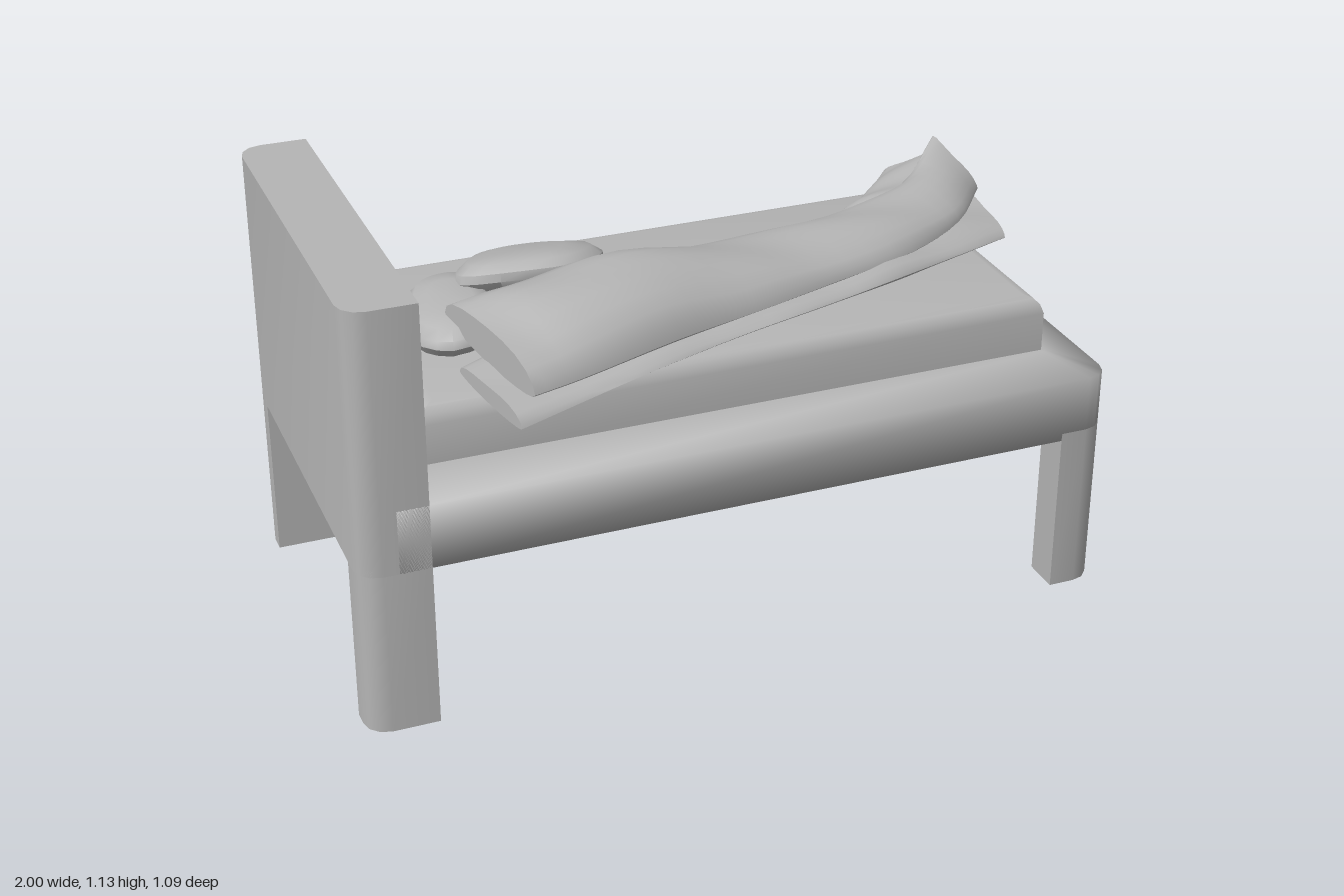
import * as THREE from 'three';
import { toCreasedNormals } from 'three/addons/utils/BufferGeometryUtils.js';

// Skin a stack of closed rings of [x, y, z] points and cap both ends
function skin(rings, crease) {
  const n = rings[0].length, pos = [], idx = [];
  const centre = (r) => [0, 1, 2].map((k) => r.reduce((s, p) => s + p[k], 0) / n);
  rings.forEach((r) => r.forEach((p) => pos.push(...p)));
  for (let j = 0; j < rings.length - 1; j++) {
    for (let i = 0; i < n; i++) {
      const a = j * n + i, b = j * n + (i + 1) % n;
      idx.push(a, a + n, b, b, a + n, b + n);
    }
  }
  const last = rings.length - 1, c0 = rings.length * n, c1 = c0 + 1;
  pos.push(...centre(rings[0]), ...centre(rings[last]));
  for (let i = 0; i < n; i++) {
    const k = (i + 1) % n;
    idx.push(c0, i, k, c1, last * n + k, last * n + i);
  }
  const g = new THREE.BufferGeometry();
  g.setAttribute('position', new THREE.Float32BufferAttribute(pos, 3));
  g.setIndex(idx);
  g.computeVertexNormals();
  return crease ? toCreasedNormals(g, crease) : g;
}

// Rectangle in plan at height y; corner radii start at (x1, z1) and run towards (x0, z1)
function plan(y, x0, x1, z0, z1, radii = [0, 0, 0, 0]) {
  const corners = [[x1, z1, -1, -1], [x0, z1, 1, -1], [x0, z0, 1, 1], [x1, z0, -1, 1]];
  return corners.flatMap(([x, z, sx, sz], c) => {
    const r = radii[c];
    if (!r) return [[x, y, z]];
    return [0, 1, 2, 3].map((i) => {
      const a = (c + i / 3) * Math.PI / 2;
      return [x + sx * r + r * Math.cos(a), y, z + sz * r + r * Math.sin(a)];
    });
  });
}

// Cloth tube; each station is far edge xyz, near edge xyz, rise above, drop below
function cloth(stations, steps = 28, n = 20) {
  const curves = [0, 3, 6].map((k) => new THREE.CatmullRomCurve3(
    stations.map((s) => new THREE.Vector3(s[k], s[k + 1], s[k + 2] ?? 0))));
  const rings = [];
  for (let j = 0; j <= steps; j++) {
    const [far, near, bulge] = curves.map((c) => c.getPoint(j / steps));
    const ring = [];
    for (let i = 0; i < n; i++) {
      const a = i / n * Math.PI * 2, s = Math.sin(a);
      const p = far.clone().lerp(near, (1 + Math.cos(a)) / 2);
      const wrinkle = 0.006 * Math.sin(j * 0.9 + i * 0.8) * Math.max(s, 0);
      ring.push([p.x, p.y + s * (s > 0 ? bulge.x : bulge.y) + wrinkle, p.z]);
    }
    rings.push(ring);
  }
  return skin(rings, 0.9);
}

// Soft cushion from a plan outline, tilted by slopes in x and z
function cushion(outline, y, thick, slopeX, slopeZ) {
  const curve = new THREE.CatmullRomCurve3(
    outline.map(([x, z]) => new THREE.Vector3(x, 0, z)), true);
  const pts = curve.getPoints(20).slice(0, 20);
  const cx = pts.reduce((s, p) => s + p.x, 0) / 20, cz = pts.reduce((s, p) => s + p.z, 0) / 20;
  const layers = [[0.6, -0.5], [0.88, -0.38], [1, -0.08], [0.97, 0.15], [0.82, 0.38], [0.5, 0.5]];
  return skin(layers.map(([s, h]) => pts.map((p) => {
    const dx = (p.x - cx) * s, dz = (p.z - cz) * s;
    return [cx + dx, y + h * thick + dx * slopeX + dz * slopeZ, cz + dz];
  })), 0.7);
}

export function createModel() {
  const group = new THREE.Group();
  const grey = new THREE.MeshStandardMaterial({ color: 0xb5b5b5 });
  grey.name = 'plain grey';
  const add = (name, geometry) => {
    const m = new THREE.Mesh(geometry, grey);
    m.name = name;
    group.add(m);
  };
  const foot = [0.06, 0, 0, 0.06], head = [0, 0.06, 0.06, 0];

  // Bed base with its top sloping out to the rim
  add('bedFrame', skin([
    plan(0.44, -0.9, 1, -0.55, 0.5, foot),
    plan(0.61, -0.9, 1, -0.55, 0.5, foot),
    plan(0.65, -0.9, 0.87, -0.44, 0.39, [0.01, 0, 0, 0.01]),
  ]));

  // Tall headboard
  add('headboard', skin([
    plan(0.44, -1, -0.82, -0.55, 0.5, head),
    plan(1.135, -1, -0.82, -0.55, 0.5, head),
  ], 0.8));

  // Four legs, rounded on the outer corner
  for (const [side, z0, z1] of [['Right', -0.55, -0.44], ['Left', 0.4, 0.5]]) {
    const front = z1 > 0;
    const footR = front ? [0.06, 0, 0, 0] : [0, 0, 0, 0.06];
    const headR = front ? [0, 0.06, 0, 0] : [0, 0, 0.06, 0];
    add('footLeg' + side, skin([0, 0.46].map((y) => plan(y, 0.87, 1, z0, z1, footR)), 0.8));
    add('headLeg' + side, skin([0, 0.46].map((y) => plan(y, -1, -0.82, z0, z1, headR)), 0.8));
  }

  // Mattress with a rounded top edge
  const mattress = [[0, 0.64], [0, 0.755], [0.008, 0.778], [0.022, 0.793], [0.045, 0.8]];
  add('mattress', skin(mattress.map(([d, y]) =>
    plan(y, -0.8 + d, 0.86 - d, -0.43 + d, 0.38 - d)), 0.7));

  // Folded trousers: upper leg, lower leg and the loose end behind
  add('upperCloth', cloth([
    [-0.65, 0.90, 0.10, -0.56, 0.86, 0.52, 0.07, 0.03],
    [-0.50, 0.90, 0.08, -0.43, 0.86, 0.48, 0.10, 0.03],
    [-0.30, 0.90, 0.05, -0.15, 0.87, 0.39, 0.125, 0.03],
    [0.00, 0.89, 0.00, 0.08, 0.87, 0.32, 0.085, 0.02],
    [0.25, 0.88, -0.05, 0.32, 0.87, 0.24, 0.065, 0.02],
    [0.50, 0.88, -0.11, 0.60, 0.87, 0.14, 0.06, 0.02],
    [0.72, 0.90, -0.19, 0.80, 0.87, 0.01, 0.045, 0.02],
    [0.88, 0.975, -0.32, 0.95, 0.87, -0.17, 0.02, 0.02],
  ]));
  add('lowerCloth', cloth([
    [-0.67, 0.83, 0.28, -0.60, 0.79, 0.54, 0.035, 0.015],
    [-0.30, 0.85, 0.12, -0.25, 0.83, 0.455, 0.03, 0.02],
    [0.00, 0.85, 0.06, 0.02, 0.845, 0.38, 0.025, 0.02],
    [0.30, 0.85, 0.00, 0.32, 0.845, 0.29, 0.025, 0.02],
    [0.60, 0.85, -0.07, 0.63, 0.84, 0.18, 0.025, 0.02],
    [0.94, 0.84, -0.18, 0.92, 0.82, 0.05, 0.02, 0.015],
  ]));
  add('looseCloth', cloth([
    [0.18, 0.88, -0.02, 0.25, 0.87, 0.10, 0.02, 0.03],
    [0.45, 0.87, -0.11, 0.50, 0.87, 0.03, 0.03, 0.03],
    [0.61, 0.86, -0.22, 0.70, 0.88, -0.08, 0.04, 0.03],
    [0.78, 0.85, -0.41, 0.89, 0.93, -0.29, 0.02, 0.02],
  ]));

  // Two small cushions near the headboard
  add('squareCushion', cushion([
    [-0.19, -0.03], [-0.30, 0.06], [-0.45, 0.04], [-0.57, -0.01],
    [-0.57, -0.09], [-0.50, -0.22], [-0.43, -0.27], [-0.25, -0.24], [-0.17, -0.15],
  ], 0.89, 0.10, 0, 0.3));
  add('flatCushion', cushion([
    [-0.50, 0.05], [-0.54, 0.17], [-0.66, 0.20], [-0.73, 0.12],
    [-0.72, -0.01], [-0.66, -0.15], [-0.59, -0.17], [-0.53, -0.14],
  ], 0.855, 0.09, 0.1, 0));

  return group;
}
